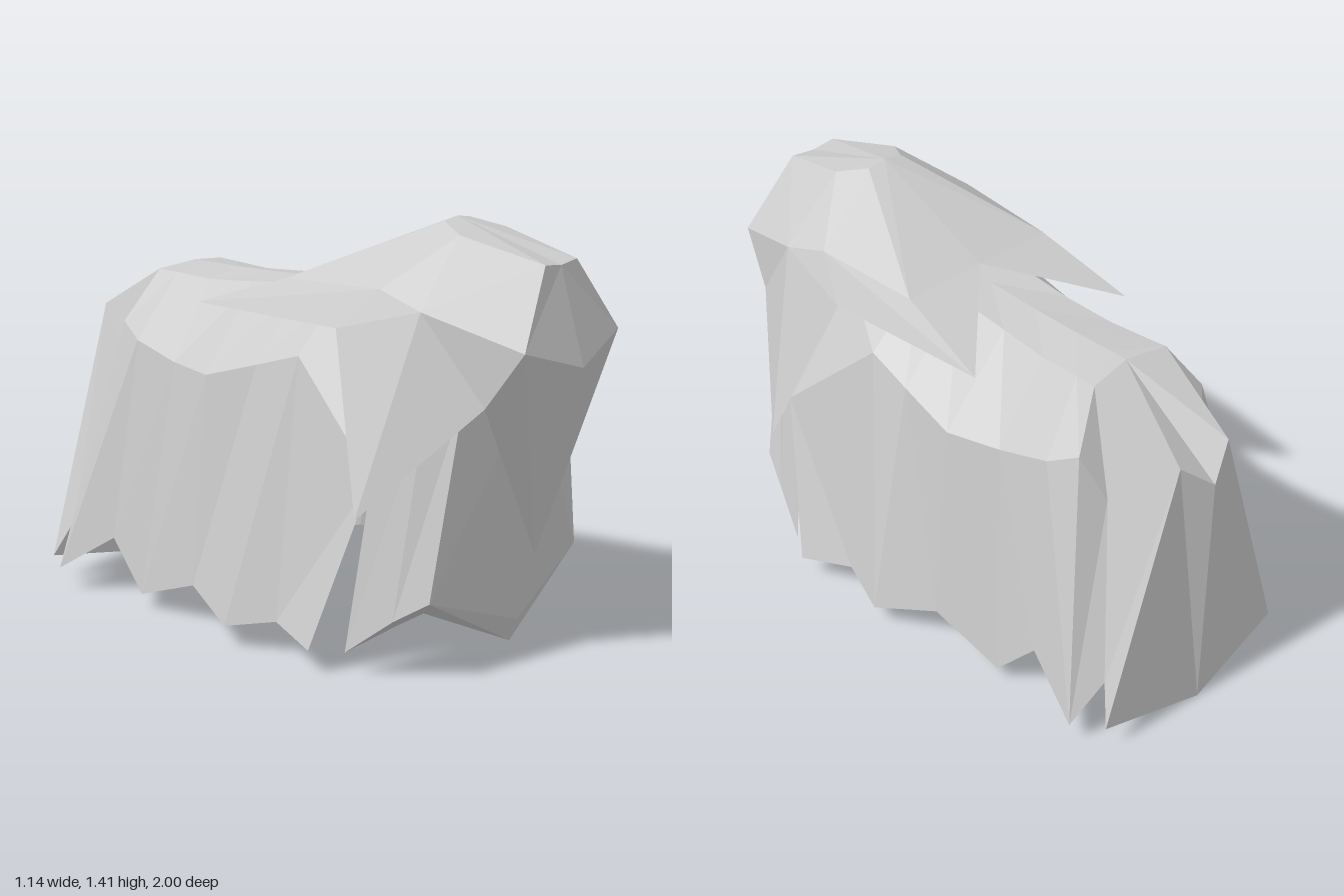
import * as THREE from 'three';

const cloth = new THREE.MeshStandardMaterial({ color: 0xcccccc, side: THREE.DoubleSide, flatShading: true });
cloth.name = 'pale grey cloth';

// Faceted sheet from outward-facing polygons on the +x half, mirrored to -x
function sheet(name, polygons) {
  const out = [];
  for (const poly of polygons) {
    for (let i = 1; i < poly.length - 1; i++) {
      const tri = [poly[0], poly[i], poly[i + 1]];
      for (const p of tri) out.push(...p);
      for (const p of tri.reverse()) out.push(-p[0], p[1], p[2]);
    }
  }
  const geo = new THREE.BufferGeometry();
  geo.setAttribute('position', new THREE.Float32BufferAttribute(out, 3));
  geo.computeVertexNormals();
  const mesh = new THREE.Mesh(geo, cloth);
  mesh.name = name;
  return mesh;
}

// Quads between neighbouring columns; each column runs from top to bottom
function loft(columns) {
  const quads = [];
  for (let c = 0; c < columns.length - 1; c++) {
    const a = columns[c], b = columns[c + 1];
    for (let r = 0; r < a.length - 1; r++) quads.push([a[r], a[r + 1], b[r + 1], b[r]]);
  }
  return quads;
}

export function createModel() {
  const group = new THREE.Group();
  group.name = 'drapedCaparison';

  // Hood: crown, brow, pointed chin, side points and two rear points
  const notch = [0, 1.21, 0.05], peakMid = [0, 1.41, 0.52], peak = [0.07, 1.4, 0.52];
  const temple = [0.13, 1.37, 0.62], front = [0.09, 1.3, 0.91], frontMid = [0, 1.29, 0.91];
  const brow = [0.27, 1.06, 0.96], browMid = [0, 0.98, 1], jaw = [0.3, 0.88, 0.84], chin = [0, 0.35, 0.84];
  const crest = [0.325, 1.21, 0.46], cheek = [0.345, 1.16, 0.63], sidePoint = [0.54, 0.53, 0.53];
  const hem = [0.38, 1.08, 0.33], fold = [0.3, 1.2, 0.06], rearPoint = [0.34, 1.09, -0.29];
  group.add(sheet('hood', [
    [peakMid, frontMid, front, temple, peak],
    [frontMid, browMid, brow, front],
    [brow, browMid, chin, jaw],
    [front, brow, cheek, temple],
    [temple, cheek, crest],
    [temple, crest, peak],
    [jaw, sidePoint, cheek, brow],
    [cheek, sidePoint, hem, crest],
    [peak, crest, fold],
    [crest, hem, rearPoint, fold],
    [peakMid, peak, fold, notch],
    [notch, fold, rearPoint],
  ]));

  // Body cloth: centre, ridge, shoulder and jagged hem
  const hip = [0.28, 0.97, -0.69], skirtRear = [0.465, 0.08, -0.86];
  const ridge = [0.16, 1.145, -0.63], backMid = [0, 1.16, -0.61];
  group.add(sheet('bodyCloth', loft([
    [[0, 1.17, 0.5], [0.2, 1.12, 0.5], [0.455, 0.64, 0.53], [0.57, 0.08, 0.37]],
    [[0, 1.17, 0.17], [0.16, 1.16, 0.17], [0.37, 0.97, 0.17], [0.5, 0.115, 0.18]],
    [[0, 1.16, 0], [0.14, 1.16, 0], [0.38, 0.92, 0], [0.55, 0.075, 0]],
    [[0, 1.155, -0.21], [0.14, 1.14, -0.21], [0.39, 0.86, -0.21], [0.46, 0.145, -0.22]],
    [[0, 1.155, -0.4], [0.15, 1.13, -0.4], [0.34, 0.87, -0.4], [0.43, 0.05, -0.49]],
    [[0, 1.16, -0.55], [0.155, 1.14, -0.55], [0.32, 0.92, -0.59], [0.41, 0.22, -0.64]],
    [backMid, ridge, hip, skirtRear],
  ])));

  // Rump, tail panel and the deep fold between tail panel and side skirt
  const tailTop = [0.11, 0.98, -0.95], tailMid = [0, 0.89, -1];
  const tailCorner = [0.4, 0.09, -0.96], tailTip = [0, 0, -1];
  const valleyTop = [0.22, 0.81, -0.76], valleyHem = [0.35, 0.22, -0.9];
  group.add(sheet('rumpCloth', [[backMid, ridge, tailTop, tailMid]]));
  group.add(sheet('tailPanel', [
    [tailTop, tailCorner, tailTip, tailMid],
    [tailTop, ridge, valleyTop, valleyHem, tailCorner],
  ]));
  group.add(sheet('rearSkirtFold', [[valleyTop, ridge, hip, skirtRear, valleyHem]]));

  // Chest apron with a turned-under hem
  const chestMid = [0, 0.12, 0.78], chestCorner = [0.42, 0.27, 0.73];
  const chestSide = [0.46, 0.2, 0.62], chestRear = [0.51, 0.08, 0.47];
  const hemSide = [0.42, 0.17, 0.6], hemCorner = [0.38, 0.22, 0.68];
  group.add(sheet('chestApron', loft([
    [[0, 0.95, 0.83], chestMid],
    [[0.29, 0.92, 0.76], chestCorner],
    [[0.35, 0.88, 0.66], chestSide],
    [[0.4, 0.8, 0.52], chestRear],
  ])));
  group.add(sheet('chestHem', [
    [chestCorner, chestMid, [0, 0.04, 0.75], hemCorner],
    [chestSide, chestCorner, hemCorner, hemSide],
    [chestRear, chestSide, hemSide],
  ]));

  // Belly lining closing the inside, facing down
  const belly = [
    [0.3, 0.68, 0.73], [0.38, 0.68, 0.5], [0.385, 0.62, 0.12],
    [0.37, 0.62, -0.22], [0.32, 0.62, -0.6], [0.2, 0.62, -0.76],
  ];
  group.add(sheet('bellyLining', loft(belly.map(([x, y, z]) => [[x, y, z], [0, y, z]]))));

  return group;
}
